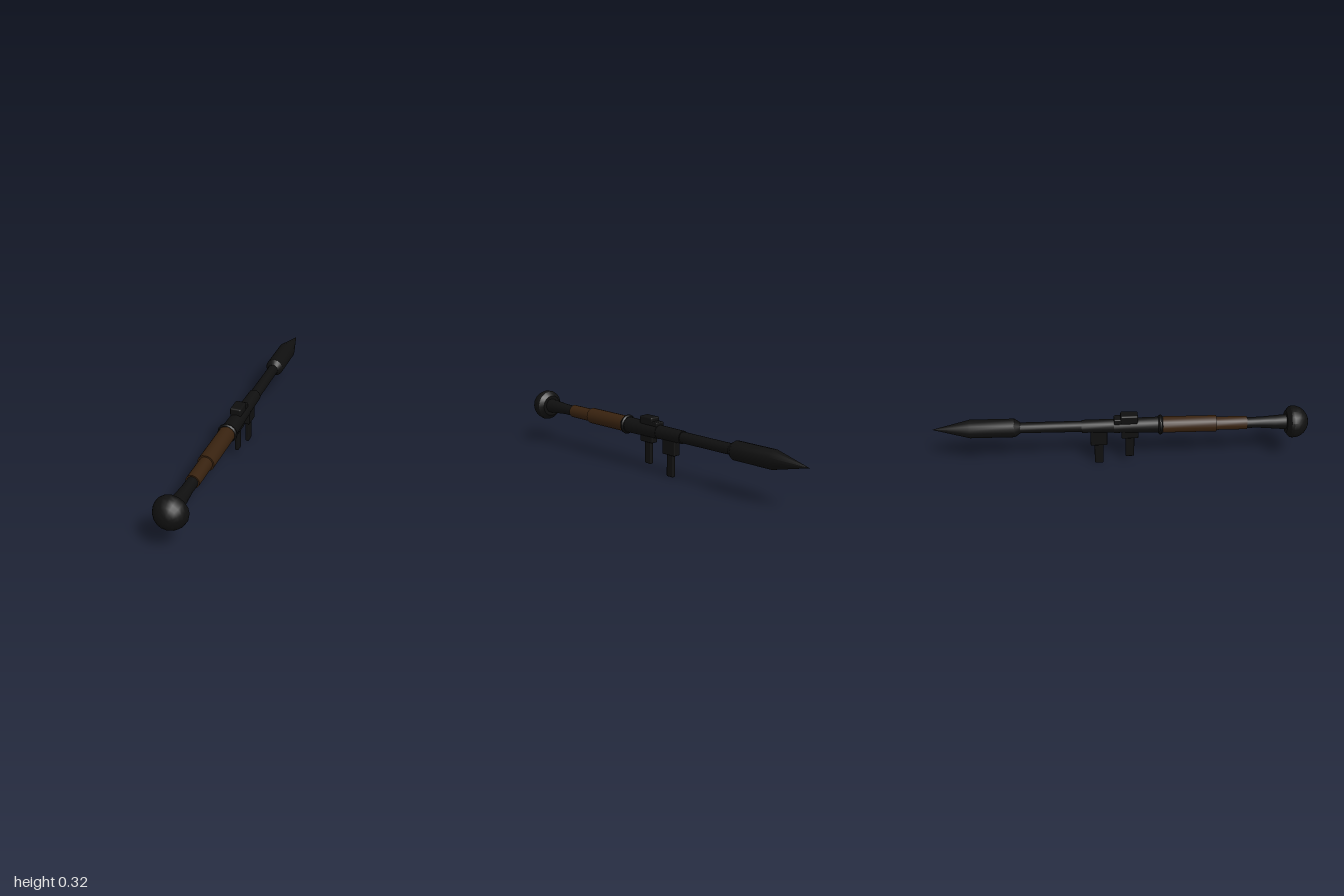
import * as THREE from 'three';
import { toCreasedNormals } from 'three/addons/utils/BufferGeometryUtils.js';
import { RoundedBoxGeometry } from 'three/addons/geometries/RoundedBoxGeometry.js';

const AXIS_Y = 0.232;

export function createModel() {
  const model = new THREE.Group();
  model.name = 'launcher';
  const black = new THREE.MeshStandardMaterial({ color: 0x0f0f0f });
  black.name = 'black metal';
  const wood = new THREE.MeshStandardMaterial({ color: 0x38220f });
  wood.name = 'dark wood';

  const add = (name, geometry, material) => {
    const mesh = new THREE.Mesh(geometry, material);
    mesh.name = name;
    model.add(mesh);
    return mesh;
  };

  // Round part along the barrel: [radius, z] pairs, z increasing
  const turned = (name, profile, material, sides = 16) => {
    const points = profile.map(([r, z]) => new THREE.Vector2(r, z));
    const geometry = new THREE.LatheGeometry(points, sides).rotateX(Math.PI / 2);
    add(name, toCreasedNormals(geometry, 0.5), material).position.y = AXIS_Y;
  };
  const sleeve = (name, z0, z1, r0, r1, material) =>
    turned(name, [[0, z0], [r0, z0], [r1, z1], [0, z1]], material);

  // Softly bevelled block from its extents
  const block = (name, width, y0, y1, z0, z1, bevel) => {
    const geometry = new RoundedBoxGeometry(width, y1 - y0, z1 - z0, 2, bevel);
    add(name, geometry, black).position.set(-0.003, (y0 + y1) / 2, (z0 + z1) / 2);
  };

  // Warhead and its rod
  turned('warhead', [[0, -1], [0.05, -0.8], [0.05, -0.565], [0.03, -0.535], [0, -0.535]], black);
  sleeve('warheadRod', -0.54, -0.2, 0.029, 0.03, black);

  // Barrel
  sleeve('muzzleTube', -0.21, -0.03, 0.035, 0.037, black);
  sleeve('barrel', -0.04, 0.21, 0.039, 0.043, black);
  turned('collarRing', [[0, 0.196], [0.046, 0.196], [0.053, 0.204], [0.053, 0.212], [0.046, 0.22], [0, 0.22]], black);

  // Wooden heat guard
  sleeve('thickGuard', 0.215, 0.505, 0.044, 0.044, wood);
  sleeve('thinGuard', 0.5, 0.67, 0.036, 0.036, wood);

  // Flared neck and domed end
  turned('neck', [[0, 0.66], [0.029, 0.66], [0.03, 0.74], [0.036, 0.82], [0.042, 0.89], [0, 0.89]], black);
  const dome = [[0, 0.88], [0.06, 0.88], [0.083, 0.9]];
  for (let i = 0; i <= 6; i++) {
    const a = (i / 6) * Math.PI / 2;
    dome.push([0.087 * Math.cos(a), 0.913 + 0.087 * Math.sin(a)]);
  }
  turned('domedEnd', dome, black);

  // Sight on top
  block('sightBase', 0.055, 0.24, 0.284, -0.04, 0.085, 0.006);
  block('sight', 0.06, 0.26, 0.305, -0.005, 0.087, 0.008);

  // Two grips below, each with a wider mount
  const grip = (name, z, mountBottom, bottom) => {
    block(name + 'Mount', 0.043, mountBottom, 0.215, z - 0.045, z + 0.045, 0.006);
    block(name, 0.023, bottom, mountBottom + 0.02, z - 0.024, z + 0.024, 0.008);
  };
  grip('foreGrip', 0.046, 0.162, 0.04);
  grip('triggerGrip', -0.12, 0.122, 0);

  return model;
}
